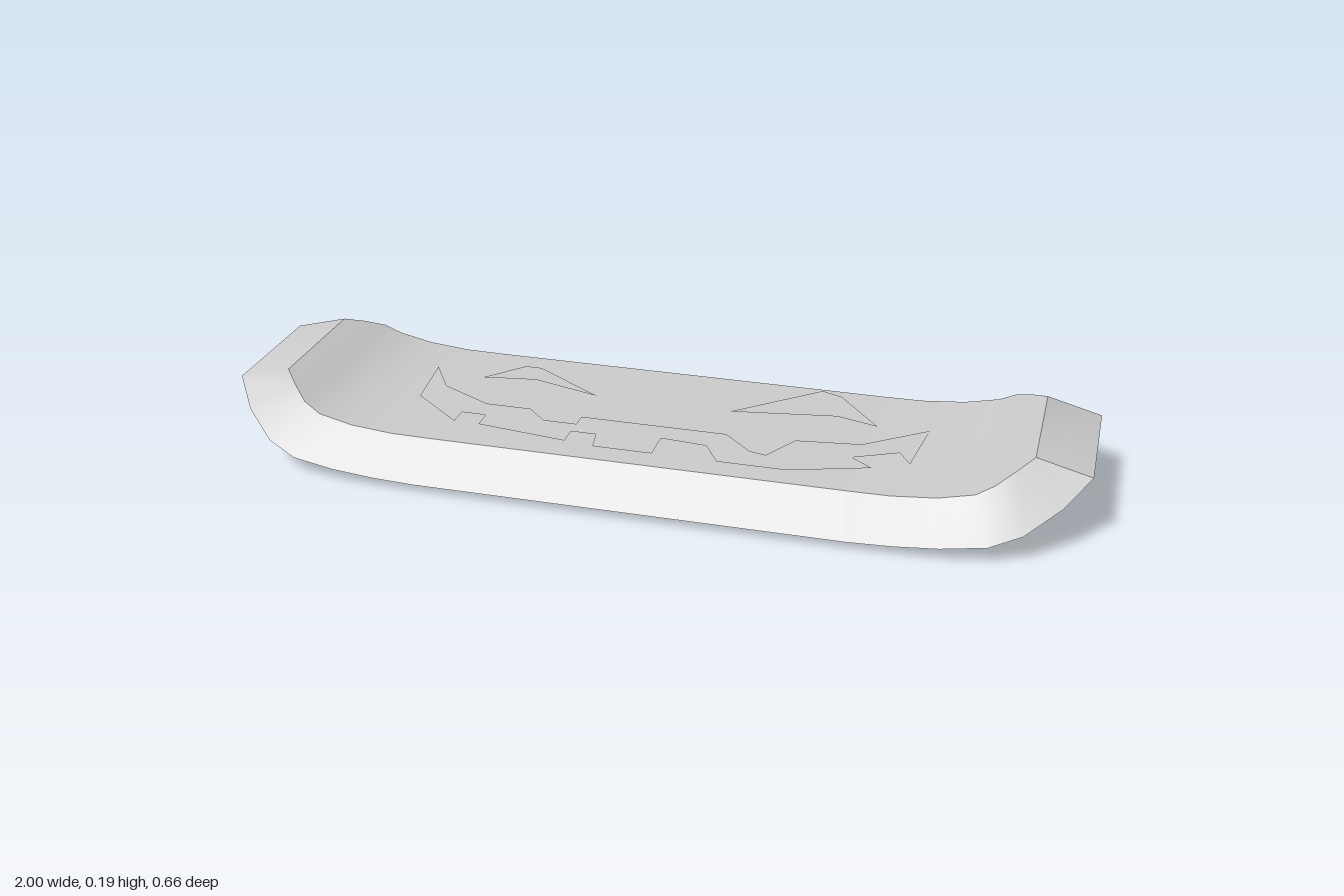
import * as THREE from 'three';
import { toCreasedNormals } from 'three/addons/utils/BufferGeometryUtils.js';

const material = new THREE.MeshStandardMaterial({ color: 0xcccccc });
const thinMaterial = new THREE.MeshStandardMaterial({ color: 0xcccccc, side: THREE.DoubleSide });

// Half of the board, middle to tip: [x, y, half width] of the lower and upper rims
const stations = [
  { low: [0.5, 0.018, 0.33], top: [0.48, 0.1, 0.25] },
  { low: [0.6, 0.022, 0.33], top: [0.58, 0.101, 0.25] },
  { low: [0.7, 0.03, 0.328], top: [0.68, 0.11, 0.25] },
  { low: [0.8, 0.042, 0.318], top: [0.76, 0.128, 0.248] },
  { low: [0.87, 0.067, 0.295], top: [0.8, 0.15, 0.238] },
  { low: [0.945, 0.112, 0.235], top: [0.84, 0.172, 0.2] },
  { low: [1, 0.157, 0.16], top: [0.875, 0.19, 0.16] },
];

// Deck: four-cornered sections swept from tip to tip, closed at both ends
function deckGeometry() {
  const sections = [
    ...[...stations].reverse().map((s) => [s, -1]),
    ...stations.map((s) => [s, 1]),
  ];
  const pos = [];
  const index = [];
  for (const [{ low, top }, side] of sections) {
    pos.push(side * low[0], low[1], -low[2], side * low[0], low[1], low[2]);
    pos.push(side * top[0], top[1], top[2], side * top[0], top[1], -top[2]);
  }
  const quad = (a, b, c, d) => index.push(a, b, c, a, c, d);
  for (let i = 0; i < sections.length - 1; i++) {
    for (let j = 0; j < 4; j++) {
      const a = i * 4 + j;
      const b = i * 4 + ((j + 1) % 4);
      quad(a, a + 4, b + 4, b);
    }
  }
  const e = (sections.length - 1) * 4;
  quad(0, 1, 2, 3);
  quad(e, e + 3, e + 2, e + 1);
  const geo = new THREE.BufferGeometry();
  geo.setAttribute('position', new THREE.Float32BufferAttribute(pos, 3));
  geo.setIndex(index);
  return toCreasedNormals(geo, 0.6);
}

// Flat cut-out lying in the ground plane, points given as [x, z] in hundredths
function flatPiece(name, points) {
  const shape = new THREE.Shape(points.map(([x, z]) => new THREE.Vector2(x / 100, z / 100)));
  const mesh = new THREE.Mesh(new THREE.ShapeGeometry(shape).rotateX(Math.PI / 2), thinMaterial);
  mesh.name = name;
  return mesh;
}

// Carved face on the upper surface
const face = {
  leftEye: [[15, -6], [34, -23], [39, -21], [50, -7], [40, -10]],
  rightEye: [[-48, -9], [-40, -18], [-36, -18], [-18, -6], [-35, -11]],
  mouth: [
    [-61, -12], [-55, -2], [-42, 5], [-31, 5], [-26, 10], [-18, 10], [-18, 6], [17, 6],
    [24, 13], [28, 14], [33, 5], [48, 3], [62, -8], [60, 10], [57, 5], [47, 10], [52, 14],
    [34, 20], [18, 20], [14, 13], [3, 12], [3, 20], [-11, 20], [-12, 14], [-18, 14],
    [-18, 19], [-40, 16], [-40, 11], [-46, 11], [-46, 16], [-59, 5],
  ],
};

// Half outline of a bat, mirrored to make the whole
const batHalf = [[0, -5], [3, -10], [5, -4], [14, -9], [25, -2], [17, 0], [15, 5], [10, 2], [6, 7], [2, 4]];
const batOutline = [
  ...batHalf,
  [0, 9],
  ...batHalf.slice(1).reverse().map(([x, z]) => [-x, z]),
];

// Bats under the board: x, z, size, turn
const bats = [
  [0.46, -0.16, 0.45, 0.2],
  [0.18, -0.16, 0.45, -0.5],
  [0.56, 0.17, 0.5, -0.3],
  [0.19, 0.14, 0.75, 0.1],
  [-0.22, -0.13, 0.75, 0.2],
  [-0.46, 0.1, 1.0, -0.4],
];

export function createModel() {
  const group = new THREE.Group();
  group.name = 'skateboardDeck';

  const deck = new THREE.Mesh(deckGeometry(), material);
  deck.name = 'deck';
  group.add(deck);

  const faceGroup = new THREE.Group();
  faceGroup.name = 'face';
  faceGroup.position.y = 0.106;
  for (const [name, points] of Object.entries(face)) faceGroup.add(flatPiece(name, points));
  group.add(faceGroup);

  const batGroup = new THREE.Group();
  batGroup.name = 'bats';
  for (const [x, z, size, turn] of bats) {
    const bat = flatPiece('bat', batOutline);
    bat.position.set(x, 0.004, z);
    bat.rotation.set(-0.015, turn, 0.01);
    bat.scale.setScalar(size);
    batGroup.add(bat);
  }
  group.add(batGroup);
  return group;
}
